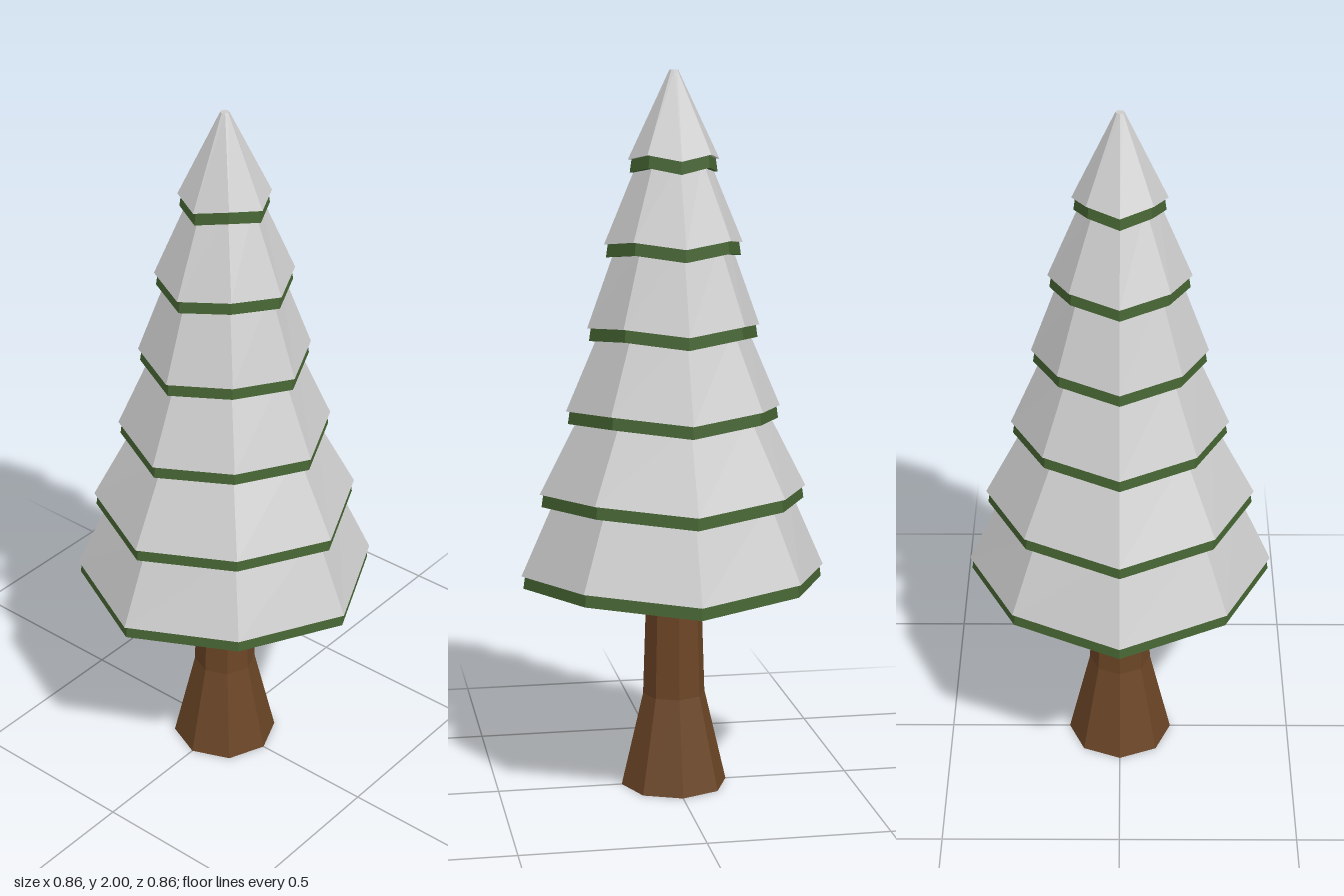
import * as THREE from 'three';

const SIDES = 8;

// Skin eight-sided rings [radius, y, lift], ordered from underside to top.
// Every second corner is pulled in a little and raised by lift.
function stack(name, rings, material, pull = 0.973) {
  const corner = ([r, y, lift = 0], k) => {
    const a = (k / SIDES) * Math.PI * 2;
    const odd = k % 2 === 1;
    const rad = odd ? r * pull : r;
    return [Math.sin(a) * rad, y + (odd ? lift : 0), Math.cos(a) * rad];
  };
  const pos = [];
  for (let i = 0; i < rings.length - 1; i++) {
    const low = rings[i], high = rings[i + 1];
    for (let k = 0; k < SIDES; k++) {
      const a = corner(low, k), b = corner(low, k + 1);
      const c = corner(high, k), d = corner(high, k + 1);
      if (low[0] > 0) pos.push(...a, ...b, ...d);
      if (high[0] > 0) pos.push(...a, ...d, ...c);
    }
  }
  const geo = new THREE.BufferGeometry();
  geo.setAttribute('position', new THREE.Float32BufferAttribute(pos, 3));
  geo.computeVertexNormals();
  const mesh = new THREE.Mesh(geo, material);
  mesh.name = name;
  return mesh;
}

export function createModel() {
  const group = new THREE.Group();
  group.name = 'snowyTree';
  const paint = (color) => new THREE.MeshStandardMaterial({ color, flatShading: true });
  const bark = paint(0x6b4526);
  const needles = paint(0x456332);
  const snow = paint(0xcccccc);

  // Trunk, flared at the foot
  group.add(stack('trunk', [[0, 0], [0.15, 0], [0.088, 0.265], [0.077, 0.6], [0, 0.6]], bark, 1));

  // Tiers: rim radius, underside height, radius and height of the upper end
  const tiers = [
    [0.428, 0.583, 0.325, 0.85],
    [0.375, 0.812, 0.255, 1.08],
    [0.3, 1.042, 0.2, 1.31],
    [0.24, 1.27, 0.155, 1.54],
    [0.192, 1.498, 0.095, 1.765],
    [0.126, 1.726, 0.012, 2.0],
  ];
  tiers.forEach(([r, y, topR, topY], i) => {
    const rim = y + 0.035, lift = 0.016;
    const tier = new THREE.Group();
    tier.name = `tier${i + 1}`;
    // Green edge and underside
    tier.add(stack('branches', [[0, y], [r - 0.005, y, lift], [r - 0.01, rim, lift]], needles));
    // Snow cover with a narrow overhanging lip
    tier.add(stack('snow', [[r - 0.01, rim, lift], [r, rim, lift], [topR, topY], [0, topY]], snow));
    group.add(tier);
  });
  return group;
}
